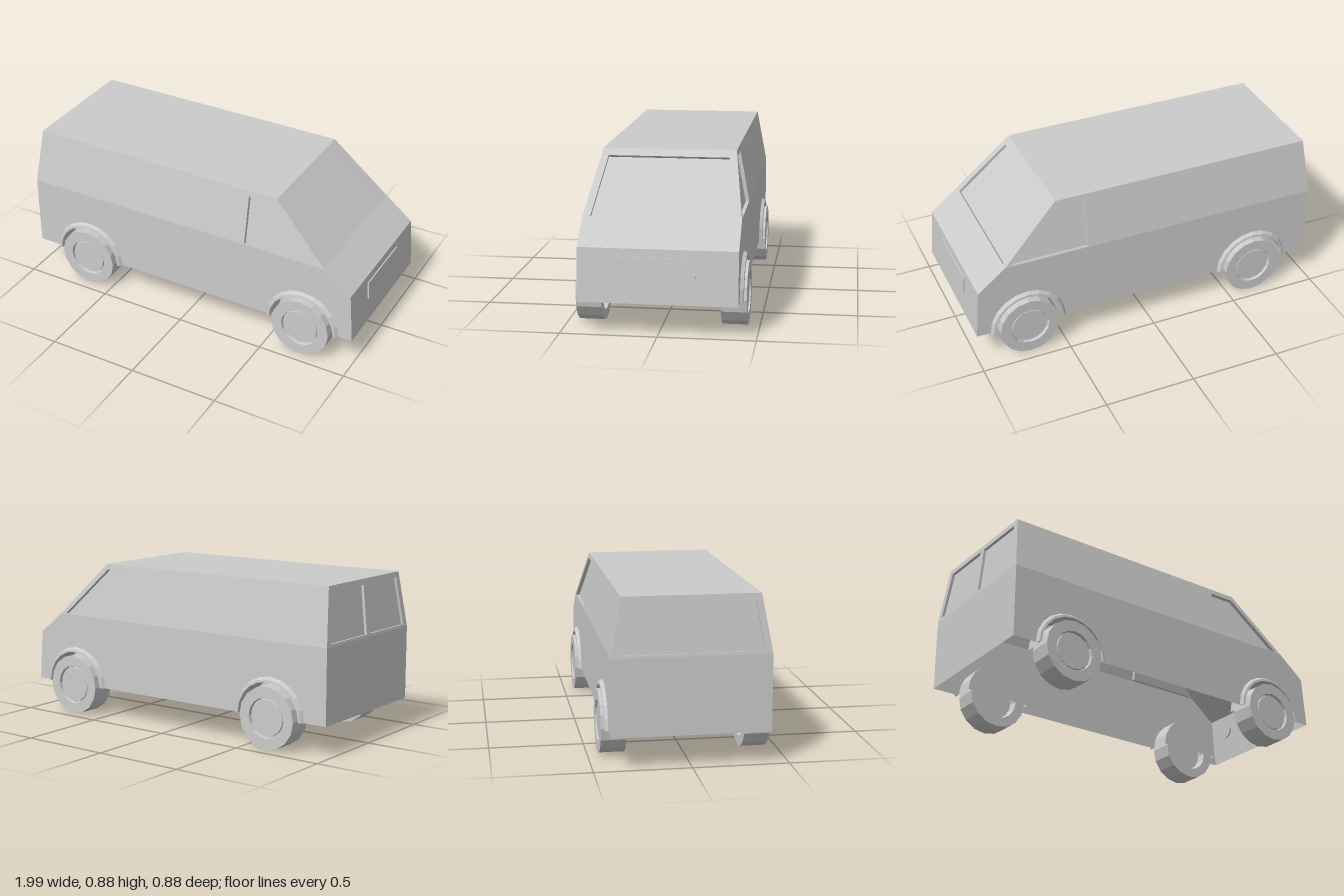
import * as THREE from 'three';

const V = (x, y, z) => new THREE.Vector3(x, y, z);
const mat = new THREE.MeshStandardMaterial({ color: 0xcccccc, flatShading: true, side: THREE.DoubleSide });

// Key heights and lengths of the body
const LOW = 0.168, BELT = 0.57, TOP = 0.875;
const W = 0.408, WT = 0.352;
const BACK = -0.99, BACKT = -0.96, KINK = 0.82, ROOF = 0.51;
const mix = (a, b, y) => a + (b - a) * (y - BELT) / (TOP - BELT);
const sideZ = y => mix(W, WT, y);
const screenX = y => mix(KINK, ROOF, y);
const backX = y => mix(BACK, BACKT, y);
const noseX = y => 0.997 - 0.022 * (y - LOW) / (0.447 - LOW);

function add(group, name, geometry) {
  const mesh = new THREE.Mesh(geometry, mat);
  mesh.name = name;
  group.add(mesh);
  return mesh;
}

// Local frame of a flat outline, seen counter-clockwise from outside
function frameOf(pts) {
  const u = pts[1].clone().sub(pts[0]).normalize();
  const n = u.clone().cross(pts[pts.length - 1].clone().sub(pts[0])).normalize();
  const m = new THREE.Matrix4().makeBasis(u, n.clone().cross(u), n).setPosition(pts[0]);
  const inv = m.clone().invert();
  return { m, flat: list => list.map(p => p.clone().applyMatrix4(inv)).map(p => new THREE.Vector2(p.x, p.y)) };
}

// Flat body panel whose windows are set back by a depth
function panel(name, outline, windows = [], depth = 0.015) {
  const group = new THREE.Group();
  group.name = name;
  const { m, flat } = frameOf(outline);
  const shape = new THREE.Shape(flat(outline));
  for (const win of windows) {
    const hole = flat(win);
    shape.holes.push(new THREE.Path(hole));
    const pos = [];
    hole.forEach((a, i) => {
      const b = hole[(i + 1) % hole.length];
      pos.push(a.x, a.y, 0, b.x, b.y, 0, b.x, b.y, -depth, a.x, a.y, 0, b.x, b.y, -depth, a.x, a.y, -depth);
    });
    const rim = new THREE.BufferGeometry();
    rim.setAttribute('position', new THREE.Float32BufferAttribute(pos, 3));
    rim.computeVertexNormals();
    add(group, 'windowRim', rim.applyMatrix4(m));
    add(group, 'windowPane', new THREE.ShapeGeometry(new THREE.Shape(hole)).translate(0, 0, -depth).applyMatrix4(m));
  }
  add(group, name + 'Skin', new THREE.ShapeGeometry(shape).applyMatrix4(m));
  return group;
}

// Thin raised piece standing on a flat outline
function raised(group, name, outline, height) {
  const { m, flat } = frameOf(outline);
  const g = new THREE.ExtrudeGeometry(new THREE.Shape(flat(outline)), { depth: height, bevelEnabled: false });
  return add(group, name, g.applyMatrix4(m));
}

// Lathe profile of [radius, z] turned around the z axis
const turned = (profile, sides, start, sweep) =>
  new THREE.LatheGeometry(profile.map(p => new THREE.Vector2(...p)), sides, start, sweep).rotateX(Math.PI / 2);

const wheelX = [-0.645, 0.705];
const ARCH = 0.19, ARCH_SIDES = 10;

// One side of the van: walls, window, arches and wheels
function makeSide() {
  const side = new THREE.Group();
  const lower = [V(BACK, LOW, W)];
  for (const x of wheelX) {
    for (let i = 0; i <= ARCH_SIDES; i++) {
      const a = Math.PI * (1 - i / ARCH_SIDES);
      lower.push(V(x + ARCH * Math.cos(a), LOW + ARCH * Math.sin(a), W));
    }
  }
  lower.push(V(noseX(LOW), LOW, W), V(0.975, 0.447, W), V(KINK, BELT, W), V(BACK, BELT, W));
  side.add(panel('lowerSide', lower));

  const s = (x, y) => V(x, y, sideZ(y));
  side.add(panel('upperSide',
    [s(BACK, BELT), s(KINK, BELT), s(ROOF, TOP), s(BACKT, TOP)],
    [[s(0.35, 0.575), s(0.78, 0.575), s(0.5, 0.845), s(0.35, 0.845)]], 0.02));

  for (const x of wheelX) {
    const arch = add(side, 'wheelArch', turned(
      [[0.215, W], [0.203, 0.426], [ARCH, 0.428], [ARCH, 0.3], [0, 0.3]],
      ARCH_SIDES, Math.PI / 2, Math.PI));
    arch.position.set(x, LOW, 0);
    const wheel = add(side, 'wheel', turned(
      [[0, 0.35], [0.105, 0.35], [0.115, 0.308], [0.168, 0.308], [0.168, 0.44],
        [0.109, 0.44], [0.106, 0.422], [0.1, 0.422], [0.098, 0.432], [0, 0.432]], 16));
    wheel.position.set(x, LOW, 0);
  }

  // Headlight with eight sides on the sloping nose
  const lamp = [];
  for (let i = 0; i < 8; i++) {
    const a = i * Math.PI / 4, y = 0.355 + 0.05 * Math.sin(a);
    lamp.push(V(noseX(y), y, 0.285 - 0.05 * Math.cos(a)));
  }
  raised(side, 'headlight', lamp.reverse(), 0.009);

  // Tail light with its lower outer corner cut
  raised(side, 'tailLight', [[0.345, 0.24], [0.345, 0.305], [0.37, 0.335], [0.495, 0.335], [0.495, 0.24]]
    .map(([y, z]) => V(BACK, y, z)), -0.01).position.x = 0;
  return side;
}

export function createModel() {
  const van = new THREE.Group();
  van.name = 'van';

  const left = makeSide(), right = makeSide();
  left.name = 'leftSide';
  right.name = 'rightSide';
  right.scale.z = -1;
  van.add(left, right);

  van.add(panel('roof', [V(BACKT, TOP, WT), V(ROOF, TOP, WT), V(ROOF, TOP, -WT), V(BACKT, TOP, -WT)]));

  // Windscreen, bonnet and nose
  const f = (y, z) => V(screenX(y), y, z);
  van.add(panel('windscreen', [f(BELT, W), f(BELT, -W), f(TOP, -WT), f(TOP, WT)],
    [[f(0.573, 0.368), f(0.573, -0.368), f(0.841, -0.32), f(0.841, 0.32)]]));
  van.add(panel('bonnet', [V(0.975, 0.447, W), V(0.975, 0.447, -W), V(KINK, BELT, -W), V(KINK, BELT, W)]));
  const n = (y, z) => V(noseX(y), y, z);
  van.add(panel('nose', [n(LOW, W), n(LOW, -W), n(0.447, -W), n(0.447, W)]));
  raised(van, 'grille', [n(0.305, 0.195), n(0.305, -0.195), n(0.405, -0.195), n(0.405, 0.195)], 0.007);

  // Rear doors with two windows
  const b = (y, z) => V(backX(y), y, z);
  van.add(panel('upperRear', [b(BELT, -W), b(BELT, W), b(TOP, WT), b(TOP, -WT)], [
    [b(0.585, -0.37), b(0.585, -0.018), b(0.845, -0.018), b(0.845, -0.323)],
    [b(0.585, 0.018), b(0.585, 0.37), b(0.845, 0.323), b(0.845, 0.018)],
  ]));
  van.add(panel('lowerRear', [V(BACK, LOW, -W), V(BACK, LOW, W), V(BACK, BELT, W), V(BACK, BELT, -W)]));
  return van;
}
